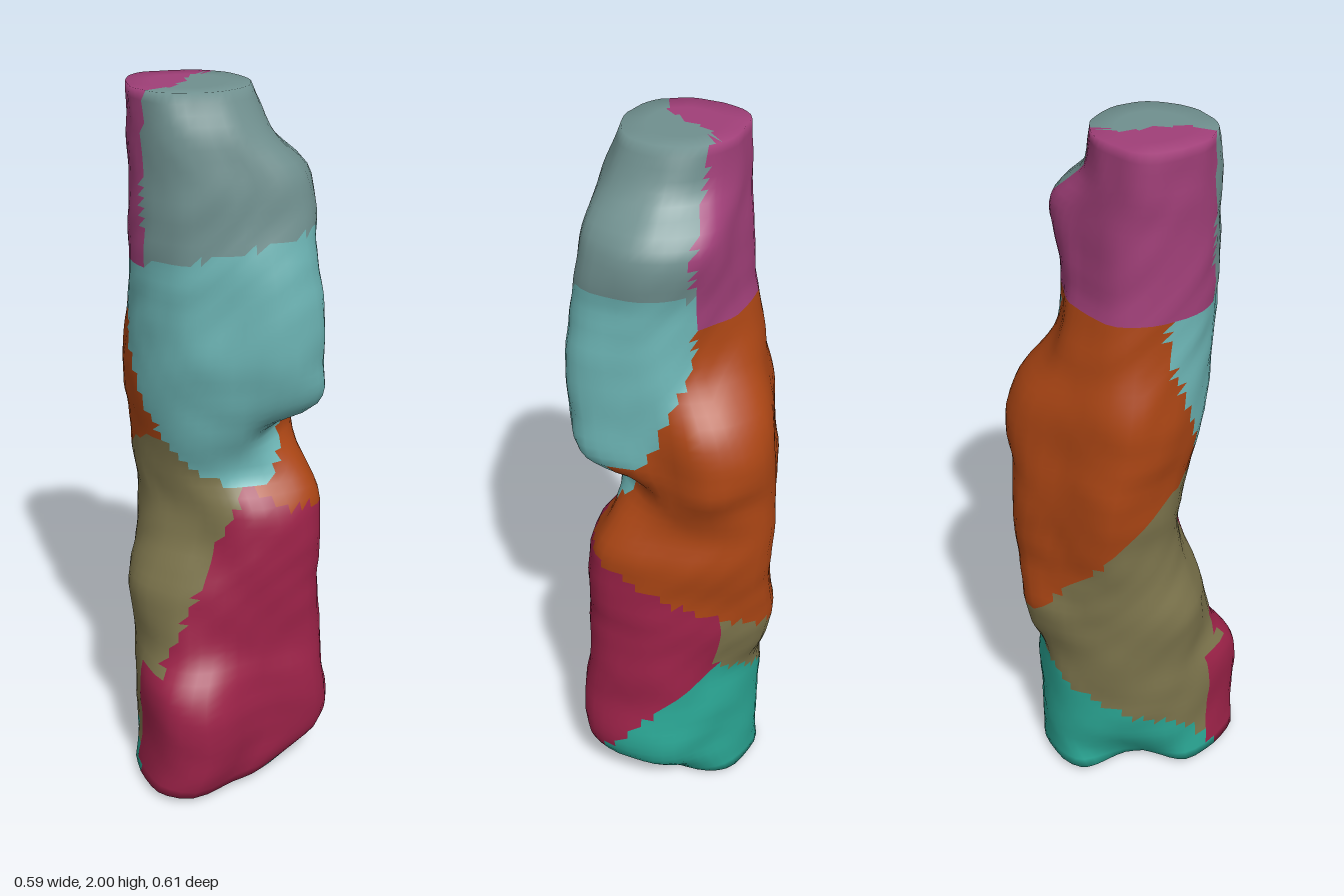
import * as THREE from 'three';

// Cross-sections: height, then reach in eight directions (+x, +x+z, +z, -x+z, -x, -x-z, -z, +x-z)
const SECTIONS = [
  [0.02, 0.16, 0.2, 0.24, 0.34, 0.275, 0.15, 0.245, 0.24],
  [0.14, 0.28, 0.3, 0.24, 0.34, 0.27, 0.22, 0.25, 0.24],
  [0.36, 0.265, 0.3, 0.24, 0.335, 0.27, 0.245, 0.25, 0.24],
  [0.43, 0.265, 0.29, 0.23, 0.28, 0.265, 0.25, 0.25, 0.23],
  [0.62, 0.255, 0.28, 0.225, 0.235, 0.275, 0.255, 0.275, 0.26],
  [0.75, 0.25, 0.28, 0.225, 0.175, 0.23, 0.265, 0.265, 0.265],
  [0.87, 0.245, 0.27, 0.205, 0.16, 0.22, 0.28, 0.265, 0.285],
  [0.96, 0.22, 0.22, 0.145, 0.17, 0.23, 0.29, 0.265, 0.29],
  [1.08, 0.22, 0.15, 0.175, 0.2, 0.24, 0.295, 0.265, 0.29],
  [1.16, 0.215, 0.27, 0.205, 0.215, 0.25, 0.295, 0.255, 0.3],
  [1.3, 0.205, 0.295, 0.235, 0.24, 0.255, 0.285, 0.245, 0.265],
  [1.42, 0.2, 0.295, 0.235, 0.245, 0.255, 0.25, 0.22, 0.17],
  [1.6, 0.2, 0.27, 0.23, 0.25, 0.255, 0.23, 0.165, 0.15],
  [1.79, 0.2, 0.235, 0.215, 0.25, 0.25, 0.225, 0.145, 0.165],
  [1.88, 0.105, 0.165, 0.205, 0.25, 0.25, 0.225, 0.145, 0.095],
  [2, 0.055, 0.1, 0.16, 0.23, 0.25, 0.223, 0.14, 0.076],
];

// Local bulges: angle in degrees from +x towards +z, height, amount, angular and vertical spread
const BULGES = [
  [114, 0.18, 0.055, 15, 0.2],
  [68, 1.38, 0.025, 16, 0.2],
  [-22, 1.2, 0.042, 15, 0.13],
  [-68, 0.7, 0.04, 18, 0.25],
  [-68, 1.15, 0.03, 18, 0.25],
  [-118, 1.75, 0.015, 15, 0.35],
];

const COLORS = {
  upperFrontPatch: 0x70908f,
  upperBackPatch: 0xa03f78,
  middleFrontPatch: 0x6cb4b4,
  middleBackPatch: 0xaa4514,
  lowerBackPatch: 0x7c744c,
  lowerFrontPatch: 0x9c2248,
  basePatch: 0x2aa593,
};

const SEGMENTS = 48;
const BANDS = 76;

// Which coloured patch a point of the surface belongs to
function patchAt({ x, y, z }) {
  if (y > 1.56 && z < THREE.MathUtils.clamp(-0.15 - 1.4 * x, -0.08, 0.08)) return 'upperBackPatch';
  if (y > 1.62 + 0.2 * x && z > -0.12) return 'upperFrontPatch';
  if (z > -0.08 + 0.4 * Math.max(0, 1.45 - y) && y > 0.93 + 0.5 * Math.max(0, -x - 0.03)
    && y > 0.93 + 1.6 * Math.max(0, x - 0.07)) return 'middleFrontPatch';
  if (y < Math.min(0.02 + 1.1 * (0.2 - z) + 0.3 * x, 0.37 + 0.65 * x)) return 'basePatch';
  if (y > Math.max(0.85 - 0.9 * x + 0.6 * z, 0.77 + 0.5 * z)) return 'middleBackPatch';
  if (z < -0.075 - 0.52 * x || (y > 0.39 && x + 0.04 + 0.45 * (0.85 - y) < 0)) return 'lowerBackPatch';
  return 'lowerFrontPatch';
}

// Sum of the bulges and of a fine unevenness at an angle and height
function relief(a, y) {
  let sum = 0.003 * Math.sin(5 * a + 3 * Math.sin(4 * y)) * Math.sin(21 * y + 2 * Math.sin(2 * a))
    + 0.002 * Math.sin(8 * a + 5 * Math.cos(7 * y)) * Math.cos(34 * y + 3 * Math.cos(3 * a));
  for (const [degrees, height, amount, spread, rise] of BULGES) {
    const turn = THREE.MathUtils.euclideanModulo(a * THREE.MathUtils.RAD2DEG - degrees + 180, 360) - 180;
    sum += amount * Math.exp(-((turn / spread) ** 2) - ((y - height) / rise) ** 4);
  }
  return sum;
}

const reach = new THREE.CubicInterpolant(
  SECTIONS.map((s) => s[0]), SECTIONS.flatMap((s) => s.slice(1)), 8);

// Smooth closed outline at one height
function outline(y) {
  const r = Array.from(reach.evaluate(y));
  const cx = (r[0] - r[4]) / 2, cz = (r[2] - r[6]) / 2;
  const center = new THREE.Vector3(cx, y, cz);
  const corners = r.map((s, k) => {
    const dx = Math.cos(k * Math.PI / 4), dz = Math.sin(k * Math.PI / 4);
    const d = s - dx * cx - dz * cz;
    return new THREE.Vector3(cx + dx * d, y, cz + dz * d);
  });
  const curve = new THREE.CatmullRomCurve3(corners, true);
  return Array.from({ length: SEGMENTS }, (_, i) => {
    const p = curve.getPoint(i / SEGMENTS);
    const outward = p.clone().sub(center).normalize();
    return p.addScaledVector(outward, relief(Math.atan2(outward.z, outward.x), y));
  });
}

// Ring shrunk towards its middle, used for the end caps
function shrink(points, f, y) {
  const middle = new THREE.Vector3();
  points.forEach((p) => middle.addScaledVector(p, 1 / SEGMENTS));
  return points.map((p) => p.clone().lerp(middle, 1 - f).setY(y));
}

export function createModel() {
  // Stack of rings: underside, lumpy wall, flat top
  const bottom = outline(0.02), top = outline(2);
  const rings = [shrink(bottom, 0, 0), shrink(bottom, 0.4, 0), shrink(bottom, 0.8, 0.01)];
  for (let j = 0; j <= BANDS; j++) rings.push(outline(0.02 + 1.98 * j / BANDS));
  for (const f of [0.6, 0.3, 0]) rings.push(shrink(top, f, 2));

  const vertices = rings.flat();
  const all = [];
  const patches = {};
  const centroid = new THREE.Vector3();
  const addFace = (...ids) => {
    centroid.set(0, 0, 0);
    ids.forEach((id) => centroid.addScaledVector(vertices[id], 1 / 3));
    (patches[patchAt(centroid)] ??= []).push(...ids);
    all.push(...ids);
  };
  for (let j = 0; j < rings.length - 1; j++) {
    for (let i = 0; i < SEGMENTS; i++) {
      const a = j * SEGMENTS + i, b = j * SEGMENTS + (i + 1) % SEGMENTS;
      const c = a + SEGMENTS, d = b + SEGMENTS;
      if (j > 0) addFace(a, c, b);
      if (j < rings.length - 2) addFace(b, c, d);
    }
  }

  // Shared smooth normals, so shading flows across patch borders
  const whole = new THREE.BufferGeometry().setFromPoints(vertices);
  whole.setIndex(all);
  whole.computeVertexNormals();

  const column = new THREE.Group();
  column.name = 'lumpyColumn';
  for (const [name, index] of Object.entries(patches)) {
    const geometry = new THREE.BufferGeometry();
    geometry.setAttribute('position', whole.getAttribute('position'));
    geometry.setAttribute('normal', whole.getAttribute('normal'));
    geometry.setIndex(index);
    const mesh = new THREE.Mesh(geometry, new THREE.MeshStandardMaterial({ color: COLORS[name] }));
    mesh.name = name;
    column.add(mesh);
  }
  return column;
}
